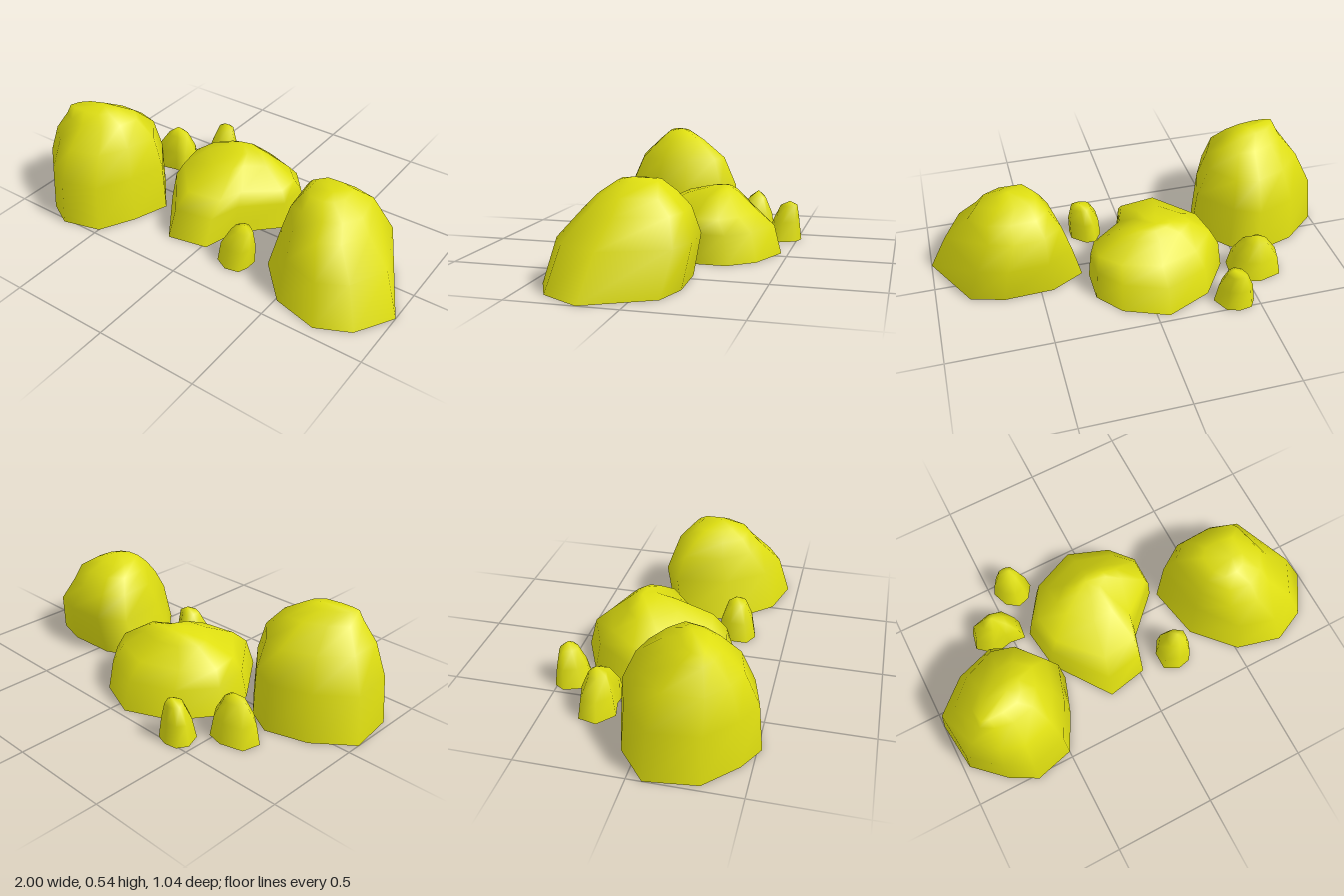
import * as THREE from 'three';

const mossYellow = new THREE.MeshStandardMaterial({ color: 0xdede10, side: THREE.DoubleSide });
mossYellow.name = 'mossYellow';

// Scales an outline of [x, z] points into the unit square
function unitOutline(points) {
  const box = new THREE.Box2().setFromPoints(points.map(([x, z]) => new THREE.Vector2(x, z)));
  const size = box.getSize(new THREE.Vector2());
  return points.map(([x, z]) => [(x - box.min.x) / size.x, (z - box.min.y) / size.y]);
}

// Open-bottomed boulder: the base outline blends upwards into the crown (a unit outline), fitted
// to the extents of each level [y, minX, maxX, minZ, maxZ], and an apex [x, y, z] closes it.
function boulder(name, outline, levels, apex, crown = unitOutline(outline)) {
  const base = unitOutline(outline);
  const n = base.length, top = levels.length - 1;
  const { lerp } = THREE.MathUtils;
  const positions = [], index = [];
  levels.forEach(([y, minX, maxX, minZ, maxZ], k) => {
    const blend = (k / top) ** 2;
    for (let i = 0; i < n; i++) {
      const u = lerp(base[i][0], crown[i][0], blend);
      const v = lerp(base[i][1], crown[i][1], blend);
      positions.push(lerp(minX, maxX, u), y, lerp(minZ, maxZ, v));
    }
  });
  positions.push(...apex);
  for (let k = 0; k <= top; k++) {
    for (let i = 0; i < n; i++) {
      const a = k * n + i, b = k * n + (i + 1) % n;
      if (k === top) index.push(a, n * levels.length, b);
      else index.push(a, a + n, b, b, a + n, b + n);
    }
  }
  const geometry = new THREE.BufferGeometry();
  geometry.setAttribute('position', new THREE.Float32BufferAttribute(positions, 3));
  geometry.setIndex(index);
  geometry.computeVertexNormals();
  const mesh = new THREE.Mesh(geometry, mossYellow);
  mesh.name = name;
  return mesh;
}

export function createModel() {
  const group = new THREE.Group();
  group.name = 'boulderCluster';

  // Three large boulders
  group.add(boulder('tallBoulder',
    [[-1, 0.07], [-0.83, -0.07], [-0.63, -0.13], [-0.5, -0.06], [-0.35, 0.12],
      [-0.41, 0.3], [-0.5, 0.47], [-0.69, 0.52], [-0.82, 0.45], [-0.97, 0.31]],
    [[0, -1, -0.35, -0.13, 0.52], [0.234, -0.98, -0.37, -0.12, 0.5],
      [0.385, -0.925, -0.42, -0.06, 0.43], [0.48, -0.86, -0.5, 0.06, 0.33],
      [0.525, -0.84, -0.58, 0.15, 0.28]],
    [-0.65, 0.54, 0.2],
    [[0.18, 0.6], [0.33, 0.3], [0.6, 0.08], [0.85, 0], [1, 0.2],
      [0.95, 0.6], [0.8, 0.9], [0.5, 1], [0.25, 1], [0.12, 0.94]]));

  group.add(boulder('middleBoulder',
    [[-0.41, -0.18], [-0.28, -0.37], [-0.06, -0.47], [0.15, -0.385], [0.25, -0.26],
      [0.25, -0.09], [0.07, 0.09], [0.02, 0.27], [-0.18, 0.31], [-0.38, 0.03]],
    [[0, -0.41, 0.25, -0.465, 0.31], [0.14, -0.39, 0.24, -0.43, 0.26],
      [0.21, -0.35, 0.22, -0.35, 0.18], [0.29, -0.24, 0.1, -0.26, 0.01],
      [0.32, -0.14, 0.03, -0.22, -0.1]],
    [-0.07, 0.33, -0.18]));

  group.add(boulder('wideBoulder',
    [[0.28, -0.1], [0.44, -0.19], [0.68, -0.2], [0.84, -0.15], [1, 0.165],
      [0.89, 0.36], [0.73, 0.44], [0.51, 0.38], [0.335, 0.18]],
    [[0, 0.28, 1, -0.16, 0.445], [0.2, 0.33, 0.915, -0.2, 0.39],
      [0.32, 0.37, 0.795, -0.155, 0.29], [0.39, 0.42, 0.75, -0.095, 0.22],
      [0.44, 0.47, 0.65, -0.03, 0.15]],
    [0.59, 0.457, 0.08],
    [[0, 0.25], [0.2, 0.02], [0.6, 0], [1, 0.08], [1, 0.6],
      [0.85, 0.88], [0.6, 1], [0.25, 1], [0.05, 0.7]]));

  // Three small stones
  group.add(boulder('backStone',
    [[-0.48, -0.46], [-0.45, -0.51], [-0.39, -0.52], [-0.33, -0.5],
      [-0.29, -0.42], [-0.33, -0.36], [-0.39, -0.34], [-0.45, -0.38]],
    [[0, -0.48, -0.29, -0.52, -0.34], [0.1, -0.465, -0.305, -0.508, -0.37],
      [0.18, -0.43, -0.335, -0.497, -0.41]],
    [-0.37, 0.206, -0.46]));

  group.add(boulder('innerStone',
    [[-0.69, -0.23], [-0.67, -0.32], [-0.56, -0.35], [-0.48, -0.33],
      [-0.43, -0.26], [-0.44, -0.17], [-0.52, -0.18], [-0.61, -0.16]],
    [[0, -0.69, -0.43, -0.35, -0.16], [0.1, -0.67, -0.45, -0.335, -0.175],
      [0.185, -0.61, -0.5, -0.3, -0.21]],
    [-0.56, 0.222, -0.26]));

  group.add(boulder('frontStone',
    [[0.12, 0.22], [0.16, 0.16], [0.21, 0.16], [0.28, 0.22],
      [0.28, 0.28], [0.26, 0.33], [0.19, 0.345], [0.12, 0.31]],
    [[0, 0.12, 0.275, 0.16, 0.345], [0.1, 0.13, 0.278, 0.17, 0.325],
      [0.18, 0.17, 0.265, 0.195, 0.285]],
    [0.225, 0.205, 0.235]));

  return group;
}
